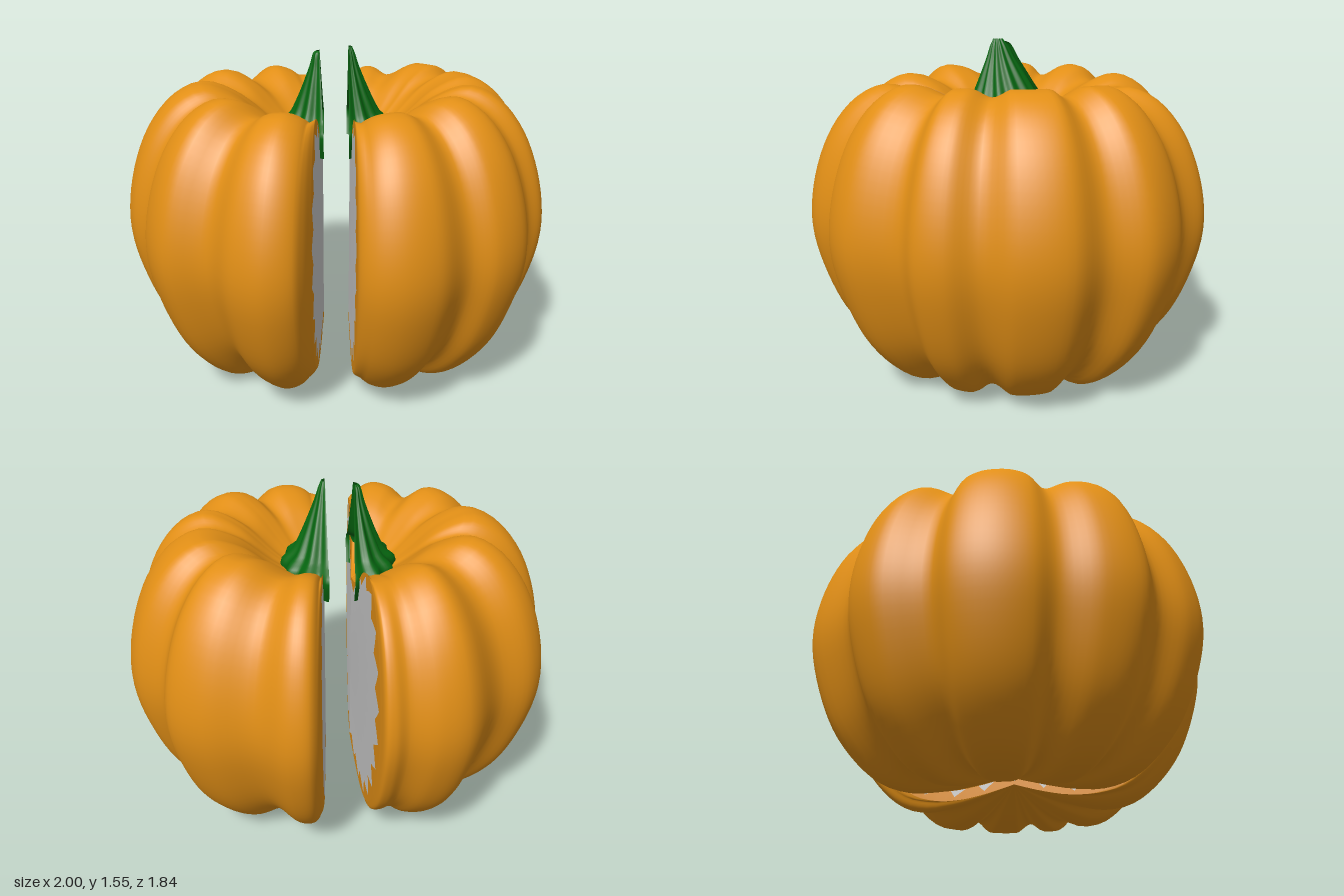
import * as THREE from 'three';

const skin = new THREE.MeshStandardMaterial({ color: 0xe28f16 });
const green = new THREE.MeshStandardMaterial({ color: 0x066610, side: THREE.DoubleSide });
const grey = new THREE.MeshStandardMaterial({ color: 0xcccccc, side: THREE.DoubleSide });

const curve = (pts) => new THREE.CatmullRomCurve3(pts.map(([a, b]) => new THREE.Vector3(a, b, 0)));

// Vertical section: share of the outline radius, height
const section = curve([
  [0, 0.12], [0.2, 0.05], [0.34, 0.01], [0.5, -0.01], [0.65, 0.04], [0.84, 0.23], [0.96, 0.5],
  [1, 0.72], [0.965, 0.96], [0.87, 1.18], [0.74, 1.32], [0.6, 1.372], [0.44, 1.32],
  [0.26, 1.18], [0.12, 1.1], [0, 1.07],
]);

// Ribbed outlines seen from above (x, z); left goes front to back, right back to front
const leftOutline = [
  [0.08, 0.78], [0.09, 0.85], [0.165, 0.905], [0.28, 0.915], [0.42, 0.86], [0.55, 0.72],
  [0.68, 0.7], [0.81, 0.59], [0.88, 0.35], [0.96, 0.27], [0.985, 0.15], [0.95, 0.02],
  [0.995, -0.14], [0.95, -0.35], [0.81, -0.48], [0.77, -0.66], [0.62, -0.77], [0.41, -0.81],
  [0.28, -0.91], [0.19, -0.92], [0.15, -0.88], [0.13, -0.8],
];
const rightOutline = [
  [-0.11, -0.79], [-0.13, -0.87], [-0.17, -0.875], [-0.23, -0.85], [-0.36, -0.87], [-0.5, -0.83],
  [-0.66, -0.61], [-0.83, -0.53], [-0.91, -0.4], [-0.9, -0.18], [-0.98, -0.08], [-1.0, 0.08],
  [-0.95, 0.25], [-0.86, 0.34], [-0.83, 0.52], [-0.73, 0.67], [-0.54, 0.72], [-0.43, 0.85],
  [-0.3, 0.915], [-0.18, 0.895], [-0.14, 0.845], [-0.105, 0.76],
];

function meshOf(name, pos, index, material) {
  const g = new THREE.BufferGeometry();
  g.setAttribute('position', new THREE.Float32BufferAttribute(pos.flat(), 3));
  g.setIndex(index);
  g.computeVertexNormals();
  const mesh = new THREE.Mesh(g, material);
  mesh.name = name;
  return mesh;
}

// Smooth surface through a list of columns of points
function surface(name, columns, material) {
  const index = [], n = columns[0].length;
  for (let i = 0; i < columns.length - 1; i++)
    for (let j = 0; j < n - 1; j++) {
      const a = i * n + j, b = a + n;
      index.push(a, b, b + 1, a, b + 1, a + 1);
    }
  return meshOf(name, columns.flat(), index, material);
}

// Columns of points from a rule over u, v in 0..1
const grid = (rule, nu, nv) => Array.from({ length: nu + 1 }, (_, i) =>
  Array.from({ length: nv + 1 }, (_, j) => rule(i / nu, j / nv)));

// Half of a ridged, flared, leaning stalk, open along the cut
function stem(side, cx, top, lean) {
  const profile = curve([
    [0.19, 1.05], [0.23, 1.17], [0.175, 1.22], [0.13, 1.3], [0.092, 1.38],
    [0.06, 1.45], [0.036, 1.51], [0.02, top],
  ]);
  return surface('stem', grid((u, v) => {
    const p = profile.getPoint(v), a = u * Math.PI;
    const h = Math.max(0, (p.y - 1.15) / 0.4);
    const twist = a + h * 0.3 * Math.sin(a);
    const r = p.x * (1 + 0.07 * Math.cos(twist * 12));
    return [
      cx + side * (r * (0.88 - 0.12 * h) * Math.sin(a) + lean * h),
      p.y,
      side * r * 1.05 * Math.cos(a) + 0.05 * h,
    ];
  }, 72, 24), green);
}

function half(name, side, outlinePts, cx, stalk) {
  const outline = curve(outlinePts);
  const columns = grid((u, v) => {
    const o = outline.getPoint(u), s = section.getPointAt(v);
    // Creases sink on the top and the underside
    const depth = THREE.MathUtils.clamp(1 - Math.hypot(o.x, o.y), 0, 0.1);
    const sink = 1 - 1.1 * depth * Math.min(1, 2 * s.x);
    return [cx + (o.x - cx) * s.x, 0.7 + (s.y - 0.7) * sink, o.y * s.x];
  }, 126, 60);

  // Skin folds over the cut and ends in a sawtooth border
  const middle = [cx, 0.64, 0];
  const teeth = (column) => column.map((p, j) => {
    const k = 0.86 + 0.055 * Math.abs((j % 4) - 2);
    return p.map((c, axis) => middle[axis] + (c - middle[axis]) * k);
  });
  const first = teeth(columns[0]), last = teeth(columns.at(-1));

  // Flat middle of the cut
  const loop = [...first, ...last.reverse()], fan = [];
  for (let i = 0; i < loop.length; i++) fan.push(i, (i + 1) % loop.length, loop.length);

  const group = new THREE.Group();
  group.name = name;
  group.add(
    surface('ribbedSkin', [first, ...columns, [...last].reverse()], skin),
    meshOf('cutMiddle', [...loop, middle], fan, grey),
    stem(side, ...stalk),
  );
  return group;
}

export function createModel() {
  const model = new THREE.Group();
  model.name = 'halvedPumpkin';
  model.add(
    half('leftHalf', 1, leftOutline, 0.07, [0.06, 1.54, 0]),
    half('rightHalf', -1, rightOutline, -0.06, [-0.055, 1.52, 0.02]),
  );
  return model;
}
